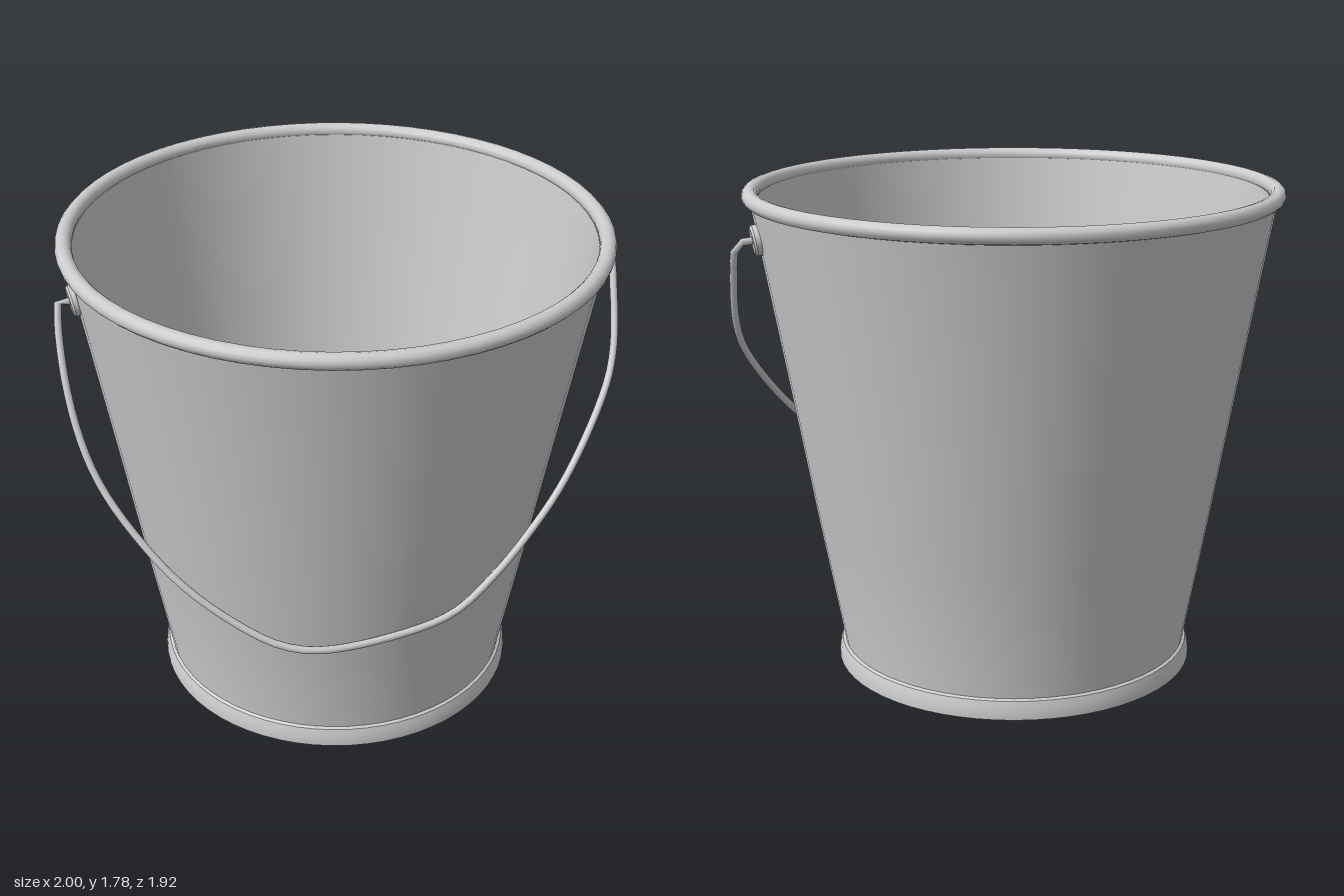
import * as THREE from 'three';
import { toCreasedNormals } from 'three/addons/utils/BufferGeometryUtils.js';

const SEGMENTS = 64;
const AXIS_X = 0.012;

export function createModel() {
  const group = new THREE.Group();
  const material = new THREE.MeshStandardMaterial({ color: 0xcccccc });

  const add = (name, geometry, parent = group) => {
    const mesh = new THREE.Mesh(geometry, material);
    mesh.name = name;
    parent.add(mesh);
    return mesh;
  };
  const turned = (name, profile) => {
    const points = profile.map(([r, y]) => new THREE.Vector2(r, y));
    const mesh = add(name, toCreasedNormals(new THREE.LatheGeometry(points, SEGMENTS), 0.7));
    mesh.position.x = AXIS_X;
  };

  // Tapered wall: recessed underside, outside, then inside down to the floor
  turned('pail', [
    [0, 0.03], [0.64, 0.03], [0.642, 0.075], [0.728, 0.55], [0.805, 1.0], [0.875, 1.4], [0.935, 1.74],
    [0.905, 1.74], [0.85, 1.4], [0.78, 1.0], [0.703, 0.55], [0.605, 0.08], [0.59, 0.062], [0.565, 0.055], [0, 0.055],
  ]);

  // Flared foot band
  turned('footBand', [
    [0.64, 0.031], [0.645, 0], [0.664, 0], [0.664, 0.014], [0.66, 0.042], [0.652, 0.066], [0.638, 0.074],
  ]);

  // Rolled lip
  const lip = [];
  for (let i = 0; i <= 12; i++) {
    const a = (i / 12) * Math.PI * 2;
    lip.push([0.933 + 0.029 * Math.cos(a), 1.75 + 0.028 * Math.sin(a)]);
  }
  turned('rolledLip', lip);

  // Round lugs lying against the wall
  for (const [name, side, y, z] of [['leftLug', 1, 1.613, 0.205], ['rightLug', -1, 1.622, -0.065]]) {
    const r = 0.916;
    const x = side * Math.sqrt(r * r - z * z);
    const out = new THREE.Vector3(x, -0.16, z).normalize();
    const lug = new THREE.Group();
    lug.name = name;
    lug.position.set(x + AXIS_X, y, z);
    lug.quaternion.setFromUnitVectors(new THREE.Vector3(0, 1, 0), out);
    const profile = [[0, -0.02], [0.055, -0.02], [0.055, 0.012], [0.048, 0.02], [0, 0.02]];
    const points = profile.map(([a, b]) => new THREE.Vector2(a, b));
    add(name + 'Disc', toCreasedNormals(new THREE.LatheGeometry(points, 24), 0.5), lug);
    group.add(lug);
  }

  // Wire handle hanging down in front
  const path = [
    [-0.915, 1.622, -0.065], [-0.955, 1.63, -0.065], [-0.97, 1.58, -0.045], [-0.986, 1.39, 0.06],
    [-0.972, 1.205, 0.165], [-0.935, 1.07, 0.245], [-0.86, 0.927, 0.35], [-0.74, 0.766, 0.47],
    [-0.58, 0.627, 0.58], [-0.447, 0.552, 0.655], [-0.313, 0.53, 0.705], [0, 0.546, 0.737],
    [0.17, 0.578, 0.732], [0.313, 0.643, 0.695], [0.49, 0.75, 0.63], [0.68, 0.91, 0.55],
    [0.89, 1.173, 0.42], [0.943, 1.296, 0.36], [0.974, 1.473, 0.275], [0.984, 1.59, 0.215],
    [0.97, 1.608, 0.205], [0.91, 1.613, 0.205],
  ].map((p) => new THREE.Vector3(...p));
  const curve = new THREE.CatmullRomCurve3(path, false, 'centripetal');
  add('handle', new THREE.TubeGeometry(curve, 72, 0.0135, 10));

  return group;
}
